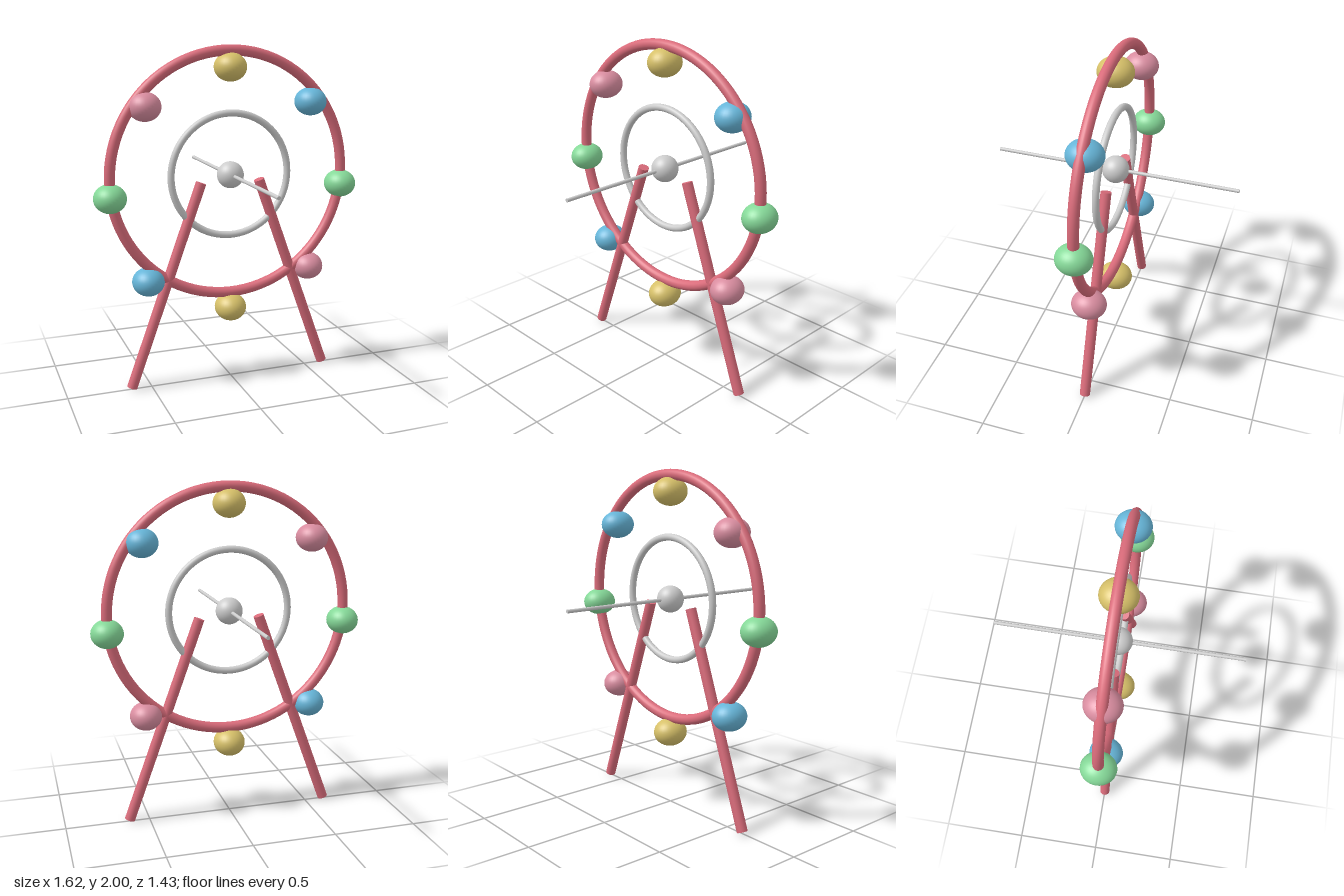
import * as THREE from 'three';

const HUB_Y = 1.254;
const RING_R = 0.715;

function material(name, color) {
  const m = new THREE.MeshStandardMaterial({ color });
  m.name = name;
  return m;
}

export function createModel() {
  const wheel = new THREE.Group();
  wheel.name = 'ferrisWheel';

  const red = material('rose red', 0xd96b7a);
  const silver = material('silver', 0xcccccc);
  const cabinColours = [
    material('green', 0x85d898),
    material('blue', 0x66b5d8),
    material('gold', 0xd6c069),
    material('pink', 0xd88c9f),
  ];

  const add = (name, geometry, mat, x, y, z = 0) => {
    const mesh = new THREE.Mesh(geometry, mat);
    mesh.name = name;
    mesh.position.set(x, y, z);
    wheel.add(mesh);
    return mesh;
  };

  // Rings, hub and axle
  add('outerRing', new THREE.TorusGeometry(RING_R, 0.031, 20, 96), red, 0, HUB_Y);
  add('innerRing', new THREE.TorusGeometry(0.36, 0.0205, 16, 80), silver, 0, HUB_Y);
  add('hub', new THREE.SphereGeometry(0.079, 32, 24), silver, 0, HUB_Y);
  add('axle', new THREE.CylinderGeometry(0.0105, 0.0105, 1.434, 16), silver, 0, HUB_Y).rotation.x = Math.PI / 2;

  // Cabins hang slightly below eight even points of the outer ring
  const cabin = new THREE.SphereGeometry(1, 32, 24).scale(0.094, 0.083, 0.103);
  for (let i = 0; i < 8; i++) {
    const a = (i * Math.PI) / 4;
    add('cabin' + (i + 1), cabin, cabinColours[i % 4],
      RING_R * Math.cos(a), HUB_Y + RING_R * Math.sin(a) - 0.094);
  }

  // Pair of splayed support legs
  const leg = new THREE.CylinderGeometry(0.031, 0.031, 1.283, 24);
  for (const side of [-1, 1]) {
    add(side < 0 ? 'rightLeg' : 'leftLeg', leg, red, side * 0.4, 0.614).rotation.z = side * 0.35;
  }

  return wheel;
}
